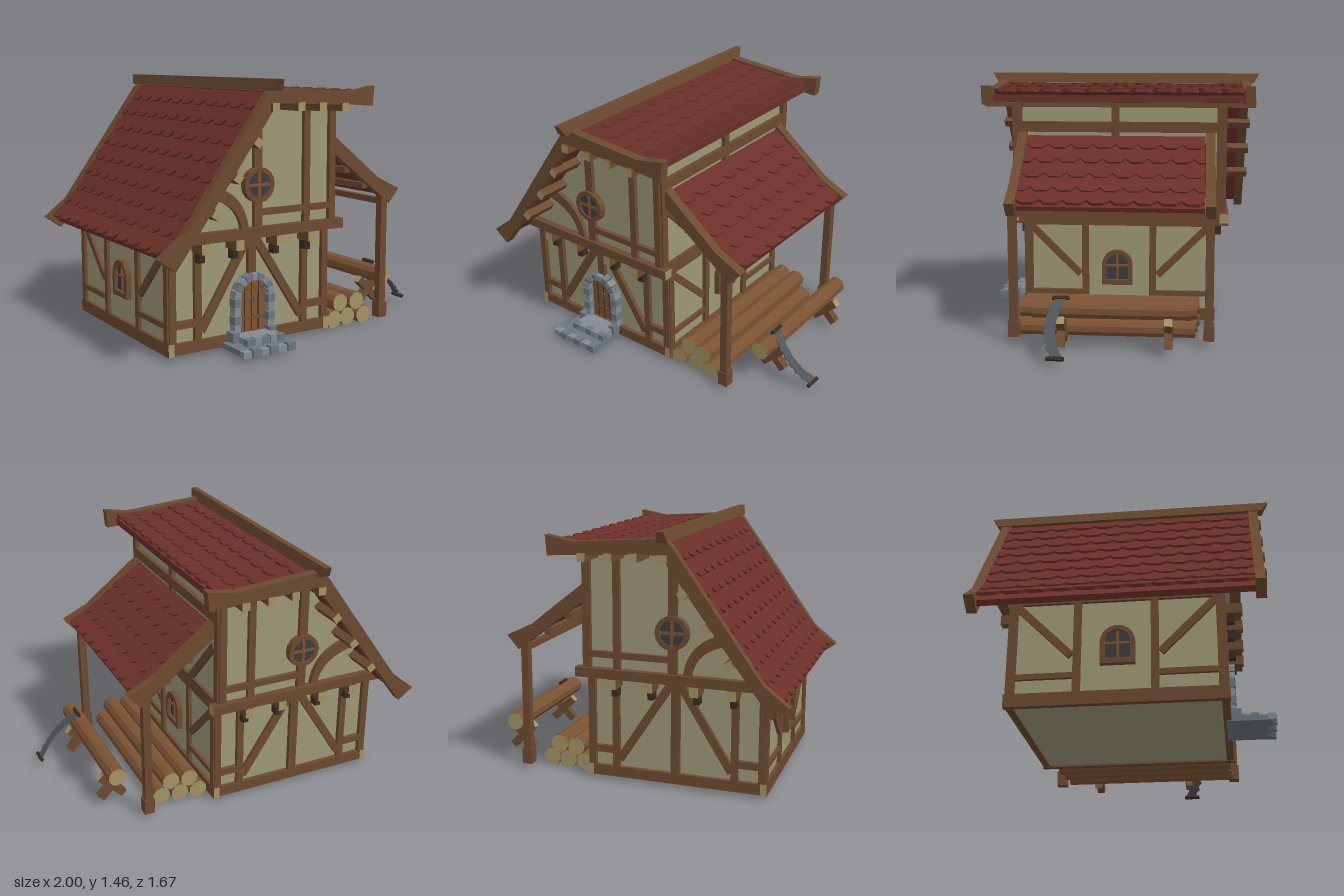
import * as THREE from 'three';

const mat = (color) => new THREE.MeshStandardMaterial({ color, flatShading: true, side: THREE.DoubleSide });
const M = {
  wall: mat(0x9c9876), wood: mat(0x6b4a30), dark: mat(0x3a2b20), end: mat(0xa29264), tile: mat(0x6b3029),
  stone: mat(0x6c757e), pale: mat(0x848b90), door: mat(0x80532f), glass: mat(0x3a3d40), log: mat(0x7b5333), metal: mat(0x50555c),
};
const V = (x, y, z) => new THREE.Vector3(x, y, z);

export function createModel() {
  const root = new THREE.Group();
  const add = (name, geo, m, parent = root) => {
    const mesh = new THREE.Mesh(geo, m);
    mesh.name = name;
    parent.add(mesh);
    return mesh;
  };
  const box = (name, x0, x1, y0, y1, z0, z1, m = M.wood, parent = root) => {
    const b = add(name, new THREE.BoxGeometry(x1 - x0, y1 - y0, z1 - z0), m, parent);
    b.position.set((x0 + x1) / 2, (y0 + y1) / 2, (z0 + z1) / 2);
    return b;
  };
  // orient a mesh: local y along dir, local z near face
  const orient = (mesh, pos, dir, face) => {
    const y = dir.clone().normalize(), x = y.clone().cross(face).normalize();
    mesh.quaternion.setFromRotationMatrix(new THREE.Matrix4().makeBasis(x, y, x.clone().cross(y)));
    mesh.position.copy(pos);
    return mesh;
  };
  // timber from a to b: w wide, d deep along face, pale sawn ends if wanted
  const beam = (name, a, b, w, d, face = V(0, 0, 1), ends = M.wood) => {
    const dir = b.clone().sub(a);
    const s = M.wood;
    const mesh = add(name, new THREE.BoxGeometry(w, dir.length(), d), [s, s, ends, ends, s, s]);
    return orient(mesh, a.clone().lerp(b, 0.5), dir, face);
  };
  const poly = (pts) => new THREE.Shape(pts.map(([x, y]) => new THREE.Vector2(x, y)));
  const extrude = (name, shape, z0, z1, m, parent = root) => {
    const g = new THREE.ExtrudeGeometry(shape, { depth: z1 - z0, bevelEnabled: false, curveSegments: 8 });
    g.translate(0, 0, z0);
    return add(name, g, m, parent);
  };

  // walls
  box('lowerWalls', -0.83, 0.17, 0.03, 0.64, -0.54, 0.54, M.wall);
  extrude('upperWalls', poly([[-0.83, 0.63], [0.17, 0.63], [0.17, 1.31], [-0.32, 1.33], [-0.83, 0.66]]), -0.6, 0.6, M.wall);

  // timber frame of the front and back
  for (const s of [1, -1]) {
    const zl = 0.545 * s, zu = 0.605 * s;
    const low = (x0, y0, x1, y1, w = 0.045) => beam('lowerTimber', V(x0, y0, zl), V(x1, y1, zl), w, 0.04);
    const up = (x0, y0, x1, y1, w = 0.045) => beam('upperTimber', V(x0, y0, zu), V(x1, y1, zu), w, 0.04);
    low(-0.83, 0.055, 0.17, 0.055, 0.06);
    for (const x of [-0.82, -0.667, 0.02, 0.163]) low(x, 0.06, x, 0.63, 0.04);
    low(-0.33, s > 0 ? 0.4 : 0.06, -0.33, 0.63, 0.05);
    low(-0.35, 0.61, -0.65, 0.13);
    low(-0.31, 0.61, 0.0, 0.13);
    low(-0.82, 0.183, -0.667, 0.183, 0.04);
    low(0.02, 0.183, 0.16, 0.183, 0.04);
    beam('floorBeam', V(-0.86, 0.645, 0.615 * s), V(0.23, 0.645, 0.615 * s), 0.055, 0.055, V(0, 0, 1), M.end);
    up(-0.33, 0.66, -0.33, 1.33, 0.05);
    up(-0.01, 0.66, -0.01, 1.32, 0.04);
    up(0.163, 0.66, 0.163, 1.31, 0.04);
    up(-0.33, 0.75, 0.16, 0.75, 0.035);
    const brace = new THREE.Shape();
    brace.moveTo(-0.63, 0.915);
    brace.quadraticCurveTo(-0.41, 0.87, -0.39, 0.66);
    brace.lineTo(-0.435, 0.66);
    brace.quadraticCurveTo(-0.45, 0.82, -0.67, 0.86);
    extrude('curvedBrace', brace, zu - 0.02, zu + 0.02, M.wood);

    // round window
    const win = new THREE.Group();
    win.name = 'roundWindow';
    win.position.set(-0.33, 0.9, zu);
    root.add(win);
    const ring = new THREE.Shape().absarc(0, 0, 0.095, 0, Math.PI * 2);
    ring.holes.push(new THREE.Path().absarc(0, 0, 0.07, 0, Math.PI * 2));
    extrude('windowRing', ring, -0.035, 0.035, M.wood, win);
    const pane = add('windowPane', new THREE.CylinderGeometry(0.075, 0.075, 0.05, 16), M.glass, win);
    pane.rotation.x = Math.PI / 2;
    box('windowBar', -0.008, 0.008, -0.07, 0.07, -0.03, 0.03, M.door, win);
    box('windowBar', -0.07, 0.07, -0.008, 0.008, -0.03, 0.03, M.door, win);

    // joist ends and brackets under the overhang
    for (const x of [-0.667, -0.46, -0.2, 0.01]) {
      beam('joistEnd', V(x, 0.59, 0.5 * s), V(x, 0.59, 0.65 * s), 0.05, 0.055, V(0, 1, 0), M.end);
      box('joistBracket', x - 0.018, x + 0.018, 0.51, 0.565, s * 0.58 - 0.025, s * 0.58 + 0.025, M.dark);
    }
    // purlin ends under the eaves
    for (const [x, y, a] of [[-0.685, 0.79, 0.95], [-0.555, 0.965, 0.95], [-0.435, 1.14, 0.95], [-0.33, 1.315, 0],
      [-0.17, 1.315, 0], [-0.03, 1.31, 0], [0.12, 1.305, 0]])
      beam('purlinEnd', V(x, y, 0.58 * s), V(x, y, 0.79 * s), 0.045, 0.045, V(-Math.sin(a), Math.cos(a), 0), M.end);
    // bargeboard
    extrude('bargeboard', poly([[-1, 0.59], [-0.86, 0.7], [-0.37, 1.385], [-0.33, 1.42], [0.17, 1.385], [0.33, 1.415],
      [0.32, 1.305], [0.18, 1.315], [-0.31, 1.335], [-0.82, 0.645], [-0.91, 0.525]]), s * 0.747 - 0.027, s * 0.747 + 0.027, M.wood);
  }

  // timber frame and arched window of each side
  for (const [x, s] of [[0.172, 1], [-0.832, -1]]) {
    const side = (y0, z0, y1, z1, w = 0.04, ends = M.wood) =>
      beam('sideTimber', V(x, y0, z0), V(x, y1, z1), w, 0.035, V(1, 0, 0), ends);
    side(0.055, -0.57, 0.055, 0.57, 0.07, M.end);
    side(0.605, -0.55, 0.605, 0.55, 0.035);
    side(0.645, -0.63, 0.645, 0.63, 0.05, M.end);
    for (const z of [-0.535, -0.2, 0.2, 0.535]) side(0.06, z, 0.62, z);
    for (const m of [1, -1]) {
      side(0.58, m * 0.52, 0.29, m * 0.23);
      side(0.18, m * 0.52, 0.18, m * 0.2, 0.03);
    }
    const win = new THREE.Group();
    win.name = 'archedWindow';
    win.position.set(x, 0.25, 0.01);
    win.rotation.y = s * Math.PI / 2;
    root.add(win);
    const arch = (r, b) => new THREE.Shape().moveTo(-r, b).lineTo(r, b).lineTo(r, 0.1).absarc(0, 0.1, r, 0, Math.PI);
    const frame = arch(0.09, -0.02);
    frame.holes.push(arch(0.066, 0.01));
    extrude('windowFrame', frame, -0.02, 0.03, M.wood, win);
    extrude('windowPane', arch(0.07, 0), -0.01, 0.008, M.glass, win);
    box('windowBar', -0.006, 0.006, 0, 0.165, 0, 0.018, M.door, win);
    box('windowBar', -0.066, 0.066, 0.09, 0.102, 0, 0.018, M.door, win);
  }
  // upper right wall
  const upperSide = (y0, z0, y1, z1, w) => beam('upperSideTimber', V(0.175, y0, z0), V(0.175, y1, z1), w, 0.04, V(1, 0, 0));
  upperSide(1.17, -0.6, 1.17, 0.6, 0.06);
  upperSide(1.3, -0.6, 1.3, 0.6, 0.03);
  for (const z of [-0.59, 0.02, 0.59]) upperSide(0.66, z, 1.3, z, 0.045);
  for (const m of [1, -1]) upperSide(0.66, m * 0.23, 1.0, m * 0.55, 0.04);

  // overlapping courses of tiles laid down a sloping path
  const tiles = (name, path, rows, half, zc, cols) => {
    const curve = new THREE.CatmullRomCurve3(path.map(([x, y]) => V(x, y, zc)));
    const pitch = (2 * half) / cols;
    for (let r = 0; r < rows; r++) {
      const top = curve.getPointAt(Math.max(0, (r - 0.35) / rows)), bottom = curve.getPointAt((r + 1) / rows);
      const dir = bottom.clone().sub(top), len = dir.length();
      const normal = V(-dir.y, dir.x, 0).normalize();
      if (normal.y < 0) normal.negate();
      bottom.addScaledVector(normal, 0.016);
      dir.copy(bottom).sub(top);
      const pts = [[half, 0], [-half, 0]];
      for (let i = 0; i <= cols * 4; i++)
        pts.push([-half + i * pitch / 4, len - ((i + (r % 2) * 2) % 4 ? 0 : 0.035)]);
      orient(extrude(name, poly(pts), -0.008, 0.01, M.tile), top, dir, normal);
    }
  };
  tiles('leftRoofTiles', [[-0.34, 1.385], [-0.6, 1.02], [-0.85, 0.685], [-0.96, 0.59]], 9, 0.72, 0, 11);
  tiles('topRoofTiles', [[-0.33, 1.385], [-0.08, 1.37], [0.15, 1.355], [0.27, 1.37]], 5, 0.72, 0, 11);
  tiles('leanToTiles', [[0.18, 1.11], [0.36, 0.975], [0.53, 0.85], [0.66, 0.785]], 5, 0.515, 0.015, 8);
  // roof decks below the tiles
  extrude('roofDeck', poly([[-0.94, 0.585], [-0.85, 0.665], [-0.34, 1.375], [0.15, 1.345], [0.26, 1.36], [0.26, 1.32],
    [0.17, 1.312], [-0.32, 1.335], [-0.82, 0.64], [-0.92, 0.56]]), -0.72, 0.72, M.tile);
  extrude('leanToDeck', poly([[0.18, 1.1], [0.53, 0.84], [0.65, 0.78], [0.64, 0.755], [0.52, 0.815], [0.18, 1.07]]), -0.5, 0.53, M.tile);

  // ridge beam with raked ends
  const ridge = new THREE.CylinderGeometry(0.025, 0.045, 0.06, 4).rotateY(Math.PI / 4);
  const rp = ridge.attributes.position;
  for (let i = 0; i < rp.count; i++) rp.setZ(i, Math.sign(rp.getZ(i)) * (rp.getY(i) > 0 ? 0.835 : 0.8));
  add('ridgeBeam', ridge, M.wood).position.set(-0.33, 1.43, 0);

  // lean-to frame
  for (const z of [0.56, -0.53]) {
    extrude('leanToRafter', poly([[0.185, 1.15], [0.53, 0.877], [0.69, 0.8], [0.62, 0.72], [0.515, 0.797], [0.185, 1.05]]),
      z - 0.027, z + 0.027, M.wood);
    box('leanToPost', 0.563, 0.607, 0.1, 0.78, z - 0.023, z + 0.023);
    box('leanToPostFoot', 0.555, 0.615, 0.03, 0.12, z - 0.03, z + 0.03);
  }
  for (const [x, y] of [[0.585, 0.73], [0.45, 0.83], [0.32, 0.93]])
    beam('leanToPurlin', V(x, y, -0.53), V(x, y, 0.56), 0.035, 0.035, V(0, 1, 0));

  // stone doorway: wedge stones round the arch, blocks down the jambs
  const cx = -0.33, cy = 0.285;
  for (let i = 0; i < 9; i++) {
    const a = (i + 0.07) * Math.PI / 9, b = (i + 0.93) * Math.PI / 9;
    const p = (r, t) => [cx + r * Math.cos(t), cy + r * Math.sin(t)];
    extrude('archStone', poly([p(0.09, a), p(0.128, a), p(0.128, b), p(0.09, b)]), 0.53, 0.595, i % 2 ? M.stone : M.pale);
  }
  for (const s of [-1, 1]) for (let i = 0; i < 4; i++) {
    const x = cx + s * 0.108, w = 0.019 + (i % 2) * 0.004, y = 0.09 + i * 0.049;
    box('jambStone', x - w, x + w, y, y + 0.046, 0.53, 0.59 + (i % 2) * 0.006, i % 2 ? M.stone : M.pale);
  }
  extrude('door', new THREE.Shape().moveTo(cx - 0.092, 0.09).lineTo(cx + 0.092, 0.09).lineTo(cx + 0.092, cy)
    .absarc(cx, cy, 0.092, 0, Math.PI), 0.53, 0.556, M.door);
  for (const x of [-0.045, 0, 0.045]) box('plankSeam', cx + x - 0.003, cx + x + 0.003, 0.09, 0.36, 0.55, 0.558, M.dark);
  for (const y of [0.16, 0.32]) box('doorStrap', cx - 0.08, cx + 0.08, y - 0.007, y + 0.007, 0.55, 0.562, M.wood);
  add('doorKnocker', new THREE.TorusGeometry(0.015, 0.005, 5, 10), M.metal).position.set(cx, 0.26, 0.563);

  // steps edged with stones
  box('lowerStep', -0.52, -0.21, 0.02, 0.05, 0.54, 0.78, M.stone);
  box('upperStep', -0.45, -0.22, 0.05, 0.085, 0.54, 0.7, M.pale);
  for (let i = 0; i < 6; i++) {
    box('lowerStepStone', -0.53 + i * 0.055, -0.48 + i * 0.055, 0.02, 0.055 + (i % 2) * 0.008, 0.755, 0.795 + (i % 2) * 0.007, i % 2 ? M.stone : M.pale);
    if (i < 5) box('upperStepStone', -0.455 + i * 0.05, -0.41 + i * 0.05, 0.05, 0.087 + (i % 2) * 0.005, 0.67, 0.71, i % 2 ? M.pale : M.stone);
  }
  for (const x of [-0.465, -0.225]) box('stepSideStone', x - 0.02, x + 0.02, 0.04, 0.105, 0.55, 0.62, M.stone);

  // logs
  const log = (name, x, y, z0, z1) => {
    const l = add(name, new THREE.CylinderGeometry(0.053, 0.053, z1 - z0, 10), [M.log, M.end, M.end]);
    l.rotation.x = Math.PI / 2;
    l.position.set(x, y, (z0 + z1) / 2);
  };
  [[0.25, 0.055], [0.36, 0.055], [0.47, 0.055], [0.305, 0.145], [0.415, 0.145]].forEach(([x, y], i) =>
    log('stackedLog', x, y, -0.48 + (i % 3) * 0.012, 0.55 - (i % 2) * 0.015));
  log('sawnLog', 0.725, 0.235, -0.43, 0.43);
  // sawhorse crosses
  for (const z of [0.27, -0.31]) for (const s of [-1, 1])
    beam('sawhorseLeg', V(0.725 - s * 0.07, 0.05, z), V(0.725 + s * 0.07, 0.19, z), 0.045, 0.045, V(0, 0, 1), M.end);

  // two-handed saw leaning on the log
  const teeth = [];
  for (let i = 0; i <= 14; i++) {
    const t = i / 7 - 1;
    teeth.push([0.35 - 0.045 * t * t - (i % 2) * 0.014, t * 0.175]);
  }
  const blade = extrude('sawBlade', poly([...teeth, [0.24, 0.175], [0.275, 0.09], [0.29, 0], [0.275, -0.09], [0.235, -0.175]]), -0.003, 0.003, M.metal);
  orient(blade, V(0.86, 0.17, 0), V(-1, 1, 0), V(-1, -1, 0));
  for (const [x, y] of [[0.733, 0.297], [0.987, 0.043]])
    beam('sawHandle', V(x, y, 0.225), V(x, y, 0.32), 0.018, 0.018, V(1, 1, 0)).material = M.dark;

  return root;
}
